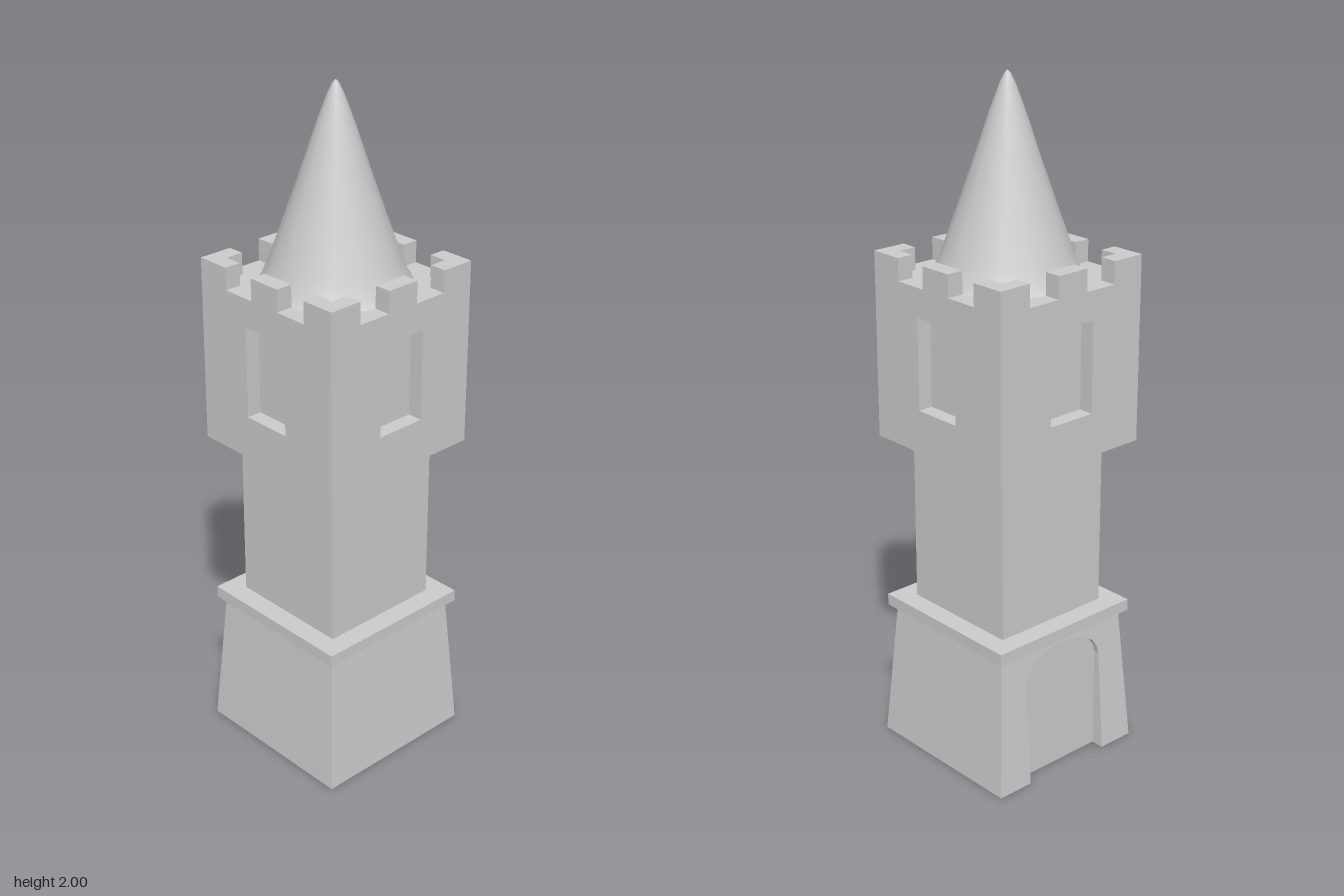
import * as THREE from 'three';

const mat = new THREE.MeshStandardMaterial({ color: 0xcccccc, side: THREE.DoubleSide });

function add(parent, name, geometry) {
  const mesh = new THREE.Mesh(geometry, mat);
  mesh.name = name;
  parent.add(mesh);
  return mesh;
}

function block(parent, name, half, y0, y1) {
  add(parent, name, new THREE.BoxGeometry(half * 2, y1 - y0, half * 2)).position.y = (y0 + y1) / 2;
}

// Flat outline [x, y] placed at a depth that may depend on height
function face(outline, depthAt, hole) {
  const toPoints = (list) => list.map(([x, y]) => new THREE.Vector2(x, y));
  const shape = new THREE.Shape(toPoints(outline));
  if (hole) shape.holes.push(new THREE.Path(toPoints(hole)));
  const geo = new THREE.ShapeGeometry(shape);
  const p = geo.attributes.position;
  for (let i = 0; i < p.count; i++) p.setZ(i, depthAt(p.getY(i)));
  geo.computeVertexNormals();
  return geo;
}

// Reveal running from an outline on the wall back to a flat depth
function reveal(outline, depthAt, back, closed) {
  const v = [];
  const n = closed ? outline.length : outline.length - 1;
  for (let i = 0; i < n; i++) {
    const [x0, y0] = outline[i];
    const [x1, y1] = outline[(i + 1) % outline.length];
    const a = [x0, y0, depthAt(y0)], b = [x1, y1, depthAt(y1)];
    const c = [x1, y1, back], d = [x0, y0, back];
    v.push(...a, ...d, ...b, ...b, ...d, ...c);
  }
  const geo = new THREE.BufferGeometry();
  geo.setAttribute('position', new THREE.Float32BufferAttribute(v, 3));
  geo.computeVertexNormals();
  return geo;
}

// Four walls facing outward; build() receives a group whose front is +z
function fourSides(parent, name, build) {
  for (let i = 0; i < 4; i++) {
    const side = new THREE.Group();
    side.name = name;
    side.rotation.y = i * Math.PI / 2;
    build(side, i);
    parent.add(side);
  }
}

export function createModel() {
  const tower = new THREE.Group();
  tower.name = 'tower';

  // Tapered base, open below, with an arched doorway on the -x side
  const baseTop = 0.42;
  const slope = (y) => 0.26 - 0.03 * y / baseTop;
  const door = [[0.145, 0]];
  for (let i = 0; i <= 10; i++) {
    const a = Math.PI * i / 10;
    door.push([0.145 * Math.cos(a), 0.31 + 0.09 * Math.sin(a)]);
  }
  door.push([-0.145, 0]);
  fourSides(tower, 'baseSide', (side, i) => {
    const hasDoor = i === 3;
    const outline = [[-0.26, 0]];
    if (hasDoor) outline.push(...[...door].reverse());
    outline.push([0.26, 0], [0.23, baseTop], [-0.23, baseTop]);
    add(side, 'baseWall', face(outline, slope));
    if (hasDoor) {
      add(side, 'doorReveal', reveal(door, slope, 0.1, false));
      add(side, 'door', face(door, () => 0.22));
      add(side, 'doorBack', face(door, () => 0.1));
    }
  });

  // Ledge and shaft
  block(tower, 'ledge', 0.25, baseTop, 0.455);
  block(tower, 'shaft', 0.189, 0.455, 0.96);

  // Wider head, open below, with a recessed window on every side
  const h = 0.258, deckY = 1.44, top = 1.505;
  const wall = [[-h, 0.96], [h, 0.96], [h, deckY], [-h, deckY]];
  const win = [[-0.077, 1.087], [0.077, 1.087], [0.077, 1.355], [-0.077, 1.355]];
  fourSides(tower, 'headSide', (side) => {
    add(side, 'headWall', face(wall, () => h, win));
    add(side, 'windowReveal', reveal(win, () => h, h - 0.045, true));
    add(side, 'windowPane', face(win, () => h - 0.045));
  });
  const deck = add(tower, 'deck', new THREE.PlaneGeometry(h * 2, h * 2));
  deck.rotation.x = -Math.PI / 2;
  deck.position.y = deckY;

  // Battlements: a middle merlon and an L-shaped corner per side
  const inner = 0.208, arm = 0.155;
  const corner = new THREE.Shape([[h, h], [arm, h], [arm, inner], [inner, inner], [inner, arm], [h, arm]]
    .map(([x, y]) => new THREE.Vector2(x, y)));
  const cornerGeo = new THREE.ExtrudeGeometry(corner, { depth: top - deckY, bevelEnabled: false });
  cornerGeo.rotateX(-Math.PI / 2);
  fourSides(tower, 'battlement', (side) => {
    add(side, 'middleMerlon', new THREE.BoxGeometry(0.104, top - deckY, h - inner))
      .position.set(0, (deckY + top) / 2, (h + inner) / 2);
    add(side, 'cornerMerlon', cornerGeo).position.y = deckY;
  });

  // Slightly flared sixteen-sided spire
  const profile = [[0.218, deckY], [0.205, 1.455], [0.182, 1.51], [0.135, 1.64], [0.09, 1.77],
    [0.05, 1.89], [0.022, 1.965], [0.008, 1.993], [0, 2]]
    .map(([x, y]) => new THREE.Vector2(x, y));
  add(tower, 'spire', new THREE.LatheGeometry(profile, 16));

  return tower;
}
